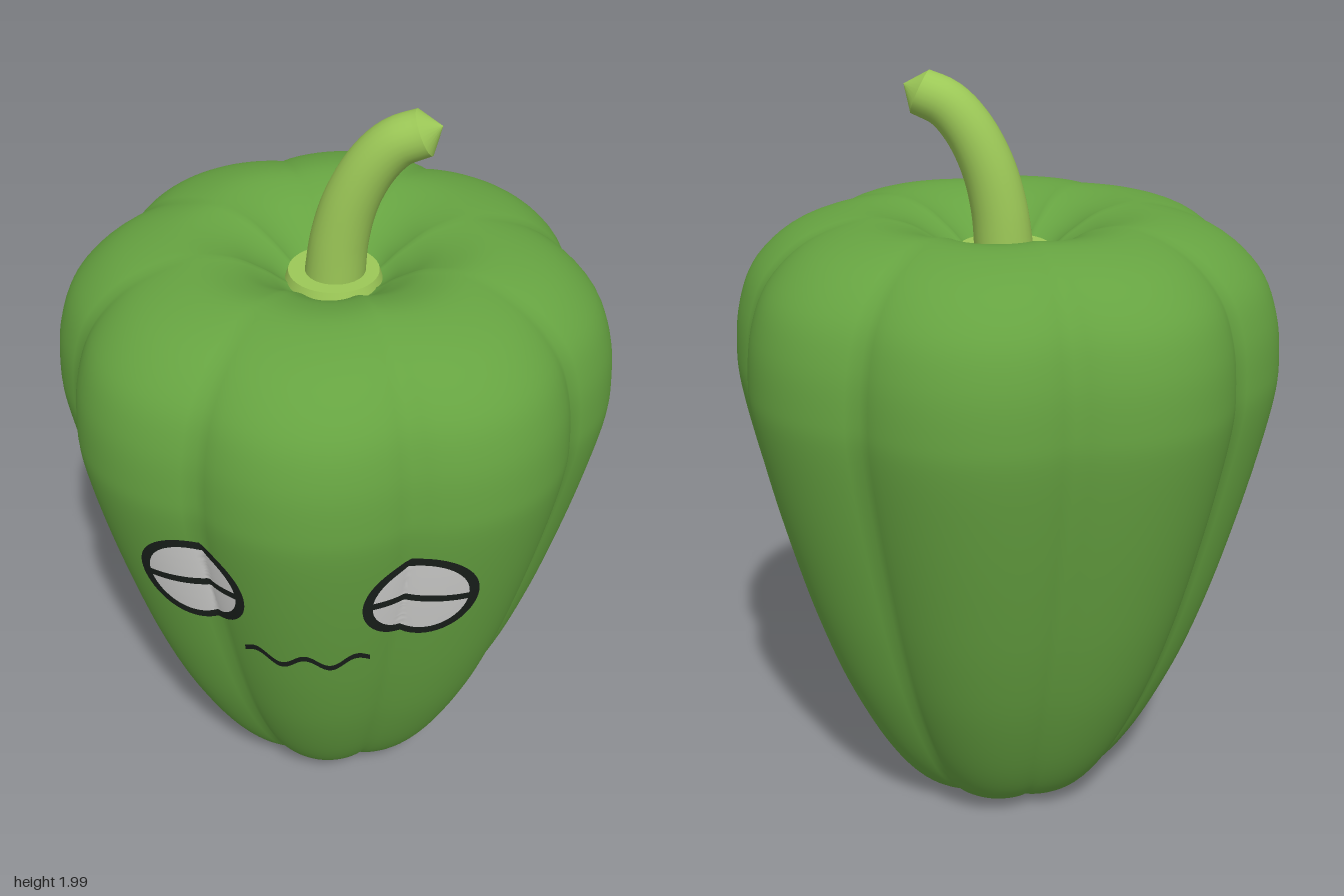
import * as THREE from 'three';
import { mergeVertices } from 'three/addons/utils/BufferGeometryUtils.js';

const material = (name, color) => {
  const m = new THREE.MeshStandardMaterial({ color });
  m.name = name;
  return m;
};
const v2 = ([x, y]) => new THREE.Vector2(x, y);

// Body outline along the crest of a lobe: underside, flank, shoulder, stem hollow
const outline = new THREE.SplineCurve([
  [0, 0.02], [0.1, 0.003], [0.2, 0.015], [0.29, 0.07], [0.385, 0.2], [0.485, 0.4],
  [0.56, 0.6], [0.62, 0.8], [0.672, 1.0], [0.71, 1.18], [0.716, 1.28], [0.702, 1.4],
  [0.655, 1.51], [0.55, 1.6], [0.4, 1.645], [0.28, 1.628], [0.19, 1.58], [0.12, 1.53],
  [0.05, 1.512], [0, 1.51],
].map(v2)).getPoints(95);

// Eight lobes with creases between them
const lobe = (angle) => 0.922 + 0.078 * Math.pow(Math.abs(Math.cos(4 * angle)), 0.8);

function crestRadius(y) {
  for (let i = 12; i < outline.length - 1; i++) {
    const a = outline[i], b = outline[i + 1];
    if (y >= a.y && y <= b.y) return a.x + (b.x - a.x) * (y - a.y) / (b.y - a.y);
  }
  return 0.7;
}

// Lays a flat patch (drawn in x, y) onto the front of the body
function drape(geometry, lift) {
  const p = geometry.attributes.position;
  for (let i = 0; i < p.count; i++) {
    const x = p.getX(i), y = p.getY(i), crest = crestRadius(y);
    let z = crest;
    for (let k = 0; k < 12; k++) {
      const r = crest * lobe(Math.atan2(x, z));
      z = Math.sqrt(r * r - x * x);
    }
    p.setZ(i, z + lift);
  }
  geometry.computeVertexNormals();
  return geometry;
}

function makeBody() {
  let g = new THREE.LatheGeometry(outline, 128);
  const p = g.attributes.position;
  for (let i = 0; i < p.count; i++) {
    const x = p.getX(i), z = p.getZ(i), s = lobe(Math.atan2(x, z));
    p.setXYZ(i, x * s, p.getY(i), z * s);
  }
  g.deleteAttribute('uv');
  g.deleteAttribute('normal');
  g = mergeVertices(g, 1e-5);
  g.computeVertexNormals();
  return g;
}

export function createModel() {
  const green = material('pepper green', 0x66a341);
  const stemGreen = material('stem green', 0x9cc857);
  const white = material('eye white', 0xd4d4d2);
  const black = material('outline black', 0x1a201c);

  const model = new THREE.Group();
  model.name = 'pepper';
  const add = (name, geometry, mat, parent = model) => {
    const mesh = new THREE.Mesh(geometry, mat);
    mesh.name = name;
    parent.add(mesh);
    return mesh;
  };

  add('body', makeBody(), green);

  // Collar at the foot of the stem
  add('stemCollar', new THREE.CylinderGeometry(0.115, 0.125, 0.03, 40), stemGreen)
    .position.y = 1.54;

  // Curved, tapering stem
  const path = new THREE.CatmullRomCurve3([
    [0, 1.51], [0.015, 1.65], [0.045, 1.76], [0.095, 1.855], [0.15, 1.913], [0.216, 1.942],
  ].map(([x, y]) => new THREE.Vector3(x, y, 0)));
  const rings = 28, sides = 24;
  const stem = new THREE.TubeGeometry(path, rings, 1, sides);
  const sp = stem.attributes.position, sn = stem.attributes.normal;
  for (let i = 0; i < sp.count; i++) {
    const t = Math.floor(i / (sides + 1)) / rings;
    const c = path.getPointAt(t), r = 0.078 - 0.019 * t;
    sp.setXYZ(i, c.x + sn.getX(i) * r, c.y + sn.getY(i) * r, sn.getZ(i) * r);
  }
  add('stem', stem, stemGreen);

  // Blunt cone closing the stem end
  const endDirection = path.getTangentAt(1);
  const tip = add('stemTip', new THREE.ConeGeometry(0.059, 0.046, sides), stemGreen);
  tip.quaternion.setFromUnitVectors(new THREE.Vector3(0, 1, 0), endDirection);
  tip.position.copy(path.getPointAt(1)).addScaledVector(endDirection, 0.023);

  // Eyes: white disc, dark rim and a slanted lid line
  for (const side of [1, -1]) {
    const eye = new THREE.Group();
    eye.name = side > 0 ? 'leftEye' : 'rightEye';
    model.add(eye);
    const place = (g) => g.scale(0.137, 0.15, 1).translate(0.28 * side, 1.0, 0);
    add('eyeWhite', drape(place(new THREE.RingGeometry(0.001, 0.88, 64, 16)), 0.006), white, eye);
    add('eyeRim', drape(place(new THREE.RingGeometry(0.83, 1, 64, 3)), 0.008), black, eye);
    const lid = new THREE.PlaneGeometry(0.245, 0.024, 32, 2);
    lid.rotateZ(-0.12 * side).translate(0.28 * side, 0.997, 0);
    add('lidLine', drape(lid, 0.008), black, eye);
  }

  // Wavy mouth
  const mouth = new THREE.PlaneGeometry(0.315, 0.022, 80, 2);
  const mp = mouth.attributes.position;
  for (let i = 0; i < mp.count; i++) {
    const x = mp.getX(i);
    mp.setY(i, mp.getY(i) + 0.79 + 0.021 * Math.cos(x * Math.PI * 2 / 0.125));
  }
  add('mouth', drape(mouth, 0.007), black);

  return model;
}
